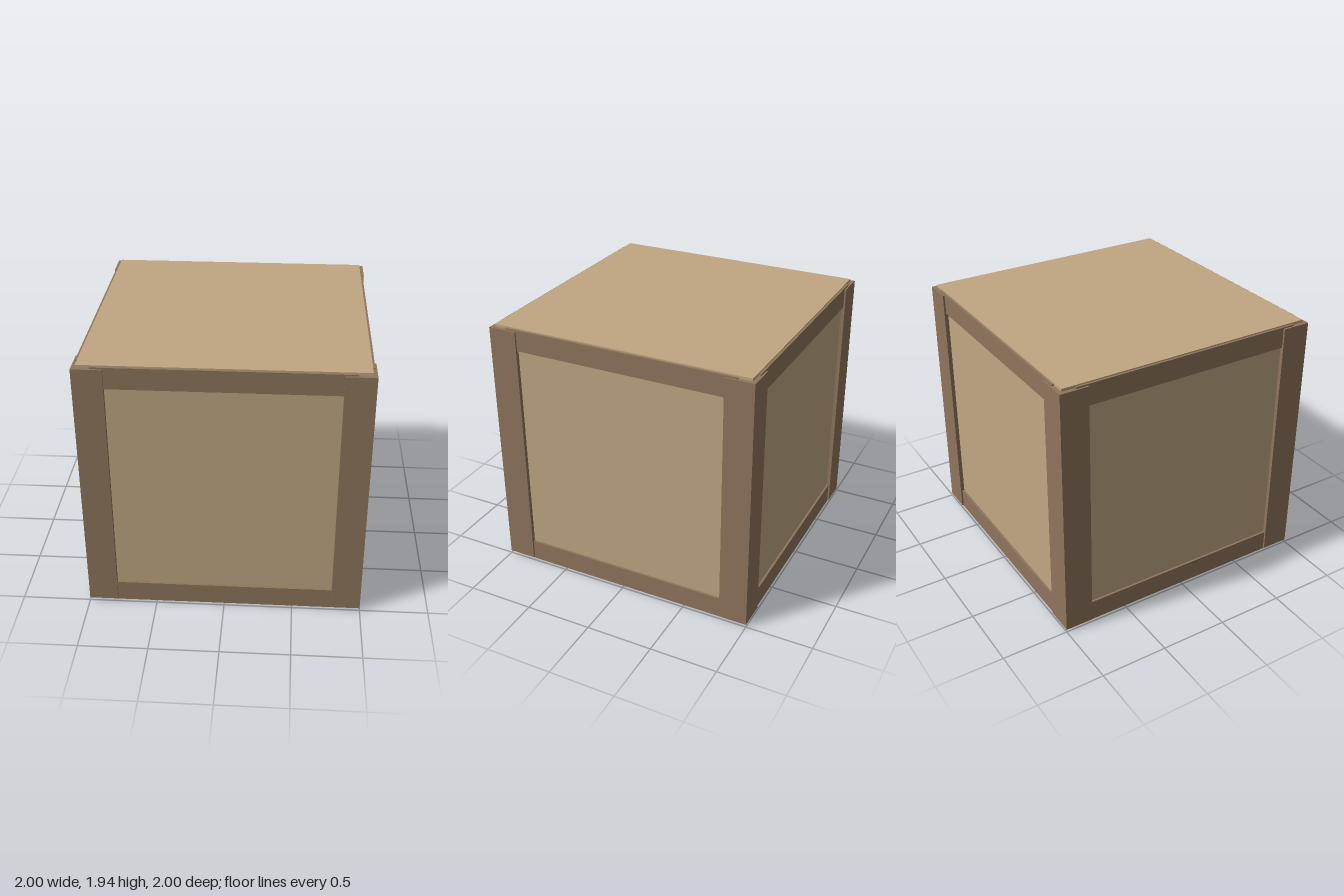
import * as THREE from 'three';

export function createModel() {
  const crate = new THREE.Group();
  crate.name = 'crate';
  const panelWood = new THREE.MeshStandardMaterial({ color: 0xc0a782 });
  const frameWood = new THREE.MeshStandardMaterial({ color: 0x8f755c });

  const addBox = (parent, name, material, size, position) => {
    const mesh = new THREE.Mesh(new THREE.BoxGeometry(...size), material);
    mesh.name = name;
    mesh.position.set(...position);
    parent.add(mesh);
  };

  const height = 1.942, middle = height / 2;

  // Light wooden body, standing slightly proud of the frame at top and bottom
  addBox(crate, 'body', panelWood, [1.942, height, 1.942], [0, middle, 0]);

  // Square posts wrapping the four vertical edges
  const post = 0.211;
  for (const sx of [-1, 1]) {
    for (const sz of [-1, 1]) {
      addBox(crate, 'cornerPost', frameWood, [post, 1.902, post],
        [sx * (1 - post / 2), middle, sz * (1 - post / 2)]);
    }
  }

  // Upper and lower rails on each side, ending behind the posts
  const rail = 0.157, outer = 0.987;
  for (let i = 0; i < 4; i++) {
    const side = new THREE.Group();
    side.name = 'sideRails';
    side.rotation.y = i * Math.PI / 2;
    for (const s of [-1, 1]) {
      addBox(side, s > 0 ? 'upperRail' : 'lowerRail', frameWood, [1.75, rail, rail],
        [0, middle + s * (0.962 - rail / 2), outer - rail / 2]);
    }
    crate.add(side);
  }
  return crate;
}
